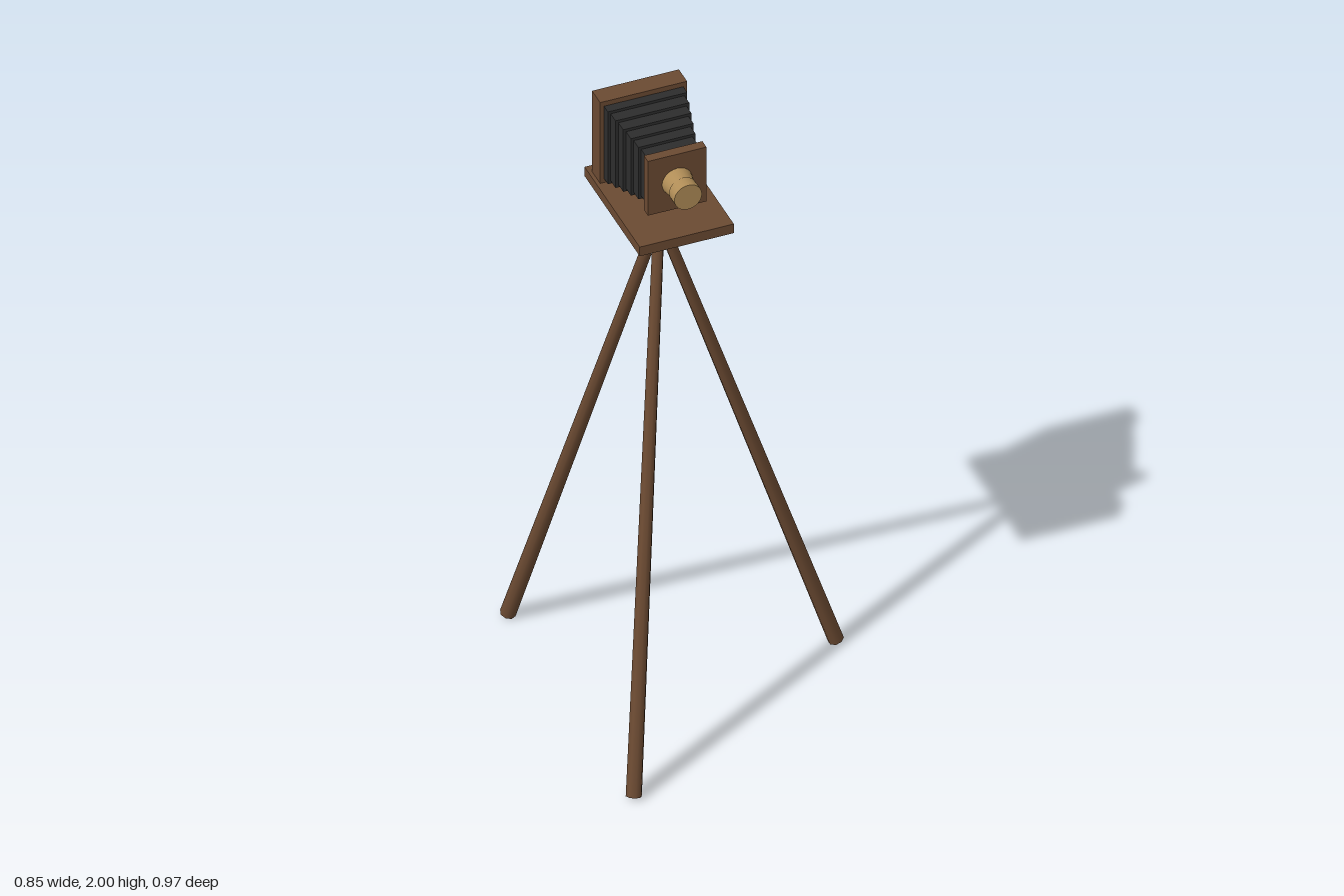
import * as THREE from 'three';

const AXIS = -0.135; // x of the camera centre line
const MID = 1.857;   // height of the lens axis

function material(name, color) {
  const m = new THREE.MeshStandardMaterial({ color });
  m.name = name;
  return m;
}

export function createModel() {
  const wood = material('walnut wood', 0x6b4a32);
  const leather = material('black leather', 0x2d2d2d);
  const brass = material('brass', 0xb08d57);
  const glass = material('ground glass', 0x8b989e);

  const model = new THREE.Group();
  model.name = 'tripodCamera';

  const add = (name, geometry, mat, x, y, z) => {
    const mesh = new THREE.Mesh(geometry, mat);
    mesh.name = name;
    mesh.position.set(x, y, z);
    model.add(mesh);
    return mesh;
  };
  const box = (name, mat, w, h, y, z0, z1) =>
    add(name, new THREE.BoxGeometry(w, h, z1 - z0), mat, AXIS, y, (z0 + z1) / 2);

  // Three tapered legs spread evenly around the mount
  const top = new THREE.Vector3(AXIS, 1.64, 0);
  for (let i = 0; i < 3; i++) {
    const a = (i * Math.PI * 2) / 3;
    const foot = new THREE.Vector3(AXIS + 0.537 * Math.cos(a), 0.007, 0.537 * Math.sin(a));
    const dir = top.clone().sub(foot);
    const g = new THREE.CylinderGeometry(0.0165, 0.0235, dir.length(), 8);
    g.rotateY(Math.PI / 8);
    // Tilt outward in the xy plane, then turn to the leg's direction
    g.rotateZ(Math.atan2(0.537, dir.y));
    g.rotateY(-a);
    const mid = top.clone().add(foot).multiplyScalar(0.5);
    add('leg' + (i + 1), g, wood, mid.x, mid.y, mid.z);
  }

  // Round mount and base board
  add('mount', new THREE.CylinderGeometry(0.083, 0.083, 0.05, 24), wood, AXIS, 1.66, 0);
  box('baseBoard', wood, 0.286, 0.032, 1.7, -0.204, 0.204);

  // Rear frame with its focusing glass
  box('rearFrame', wood, 0.264, 0.285, MID, -0.175, -0.115);
  box('focusingGlass', glass, 0.22, 0.24, MID, -0.178, -0.173);

  // Stepped bellows narrowing towards the lens
  const steps = [-0.116, -0.086, -0.05, -0.014, 0.022, 0.057, 0.094];
  for (let i = 0; i < 6; i++) {
    const w = 0.241 - i * 0.017;
    box('bellowsFold' + (i + 1), leather, w, w * 1.05, MID, steps[i], steps[i + 1]);
  }

  // Lens board
  box('lensBoard', wood, 0.178, 0.19, MID, 0.103, 0.133);

  // Lens barrel and front rim
  const profile = [[0, 0], [0.046, 0], [0.046, 0], [0.039, 0.04], [0.039, 0.04], [0.042, 0.042],
    [0.042, 0.042], [0.042, 0.081], [0.042, 0.081], [0, 0.081]];
  const lens = new THREE.LatheGeometry(profile.map(([r, h]) => new THREE.Vector2(r, h)), 24);
  // Unweld so that each band keeps its own crisp edge
  const n = profile.length;
  const pos = lens.attributes.position;
  const nor = lens.attributes.normal;
  for (let i = 0; i < pos.count; i++) {
    const j = i % n;
    const a = Math.floor(i / n) / 24 * Math.PI * 2;
    const k = j % 2 === 0 ? j : j - 1;
    const dr = profile[k + 1][0] - profile[k][0];
    const dh = profile[k + 1][1] - profile[k][1];
    const len = Math.hypot(dr, dh);
    nor.setXYZ(i, Math.sin(a) * dh / len, -dr / len, Math.cos(a) * dh / len);
  }
  lens.rotateX(Math.PI / 2);
  add('lens', lens, brass, AXIS, MID, 0.133);

  return model;
}
